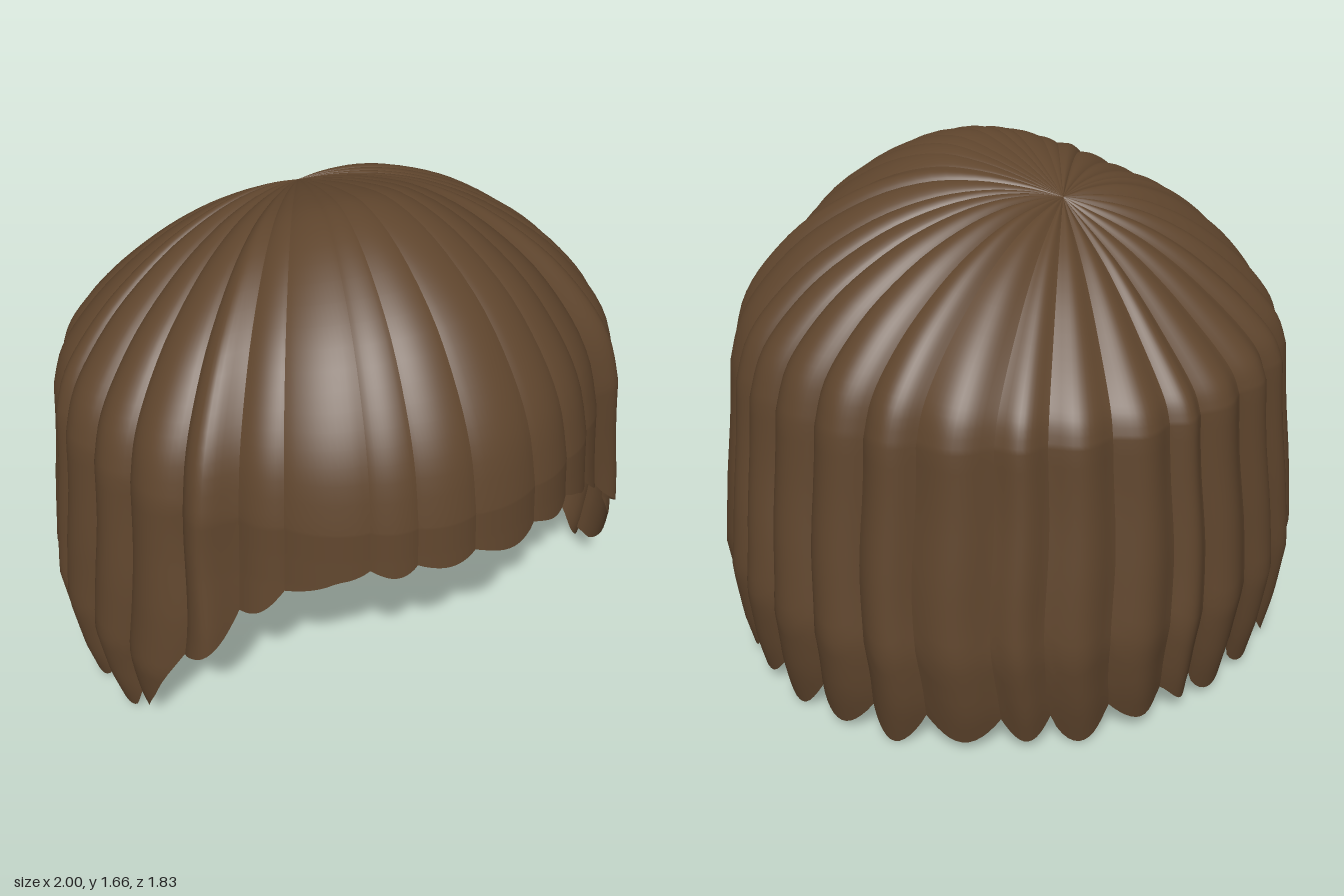
import * as THREE from 'three';
import { mergeGeometries } from 'three/addons/utils/BufferGeometryUtils.js';

const DEG = Math.PI / 180;
const CROWN_Z = -0.25, RING_Y = 1.0;
const BANG_EDGE = 46;
const { lerp, clamp, smoothstep } = THREE.MathUtils;

// Dome profiles from crown (h = 0) to ring (h = 1), sharing the same h steps
const STEPS = [0, 0.11, 0.25, 0.4, 0.57, 0.75, 0.88, 0.96, 1];
const profile = (ys) => new THREE.SplineCurve(ys.map((y, i) => new THREE.Vector2(STEPS[i], y)));
const frontDome = profile([1.54, 1.59, 1.64, 1.665, 1.62, 1.5, 1.34, 1.18, RING_Y]);
const sideDome = profile([1.54, 1.56, 1.56, 1.53, 1.465, 1.355, 1.235, 1.125, RING_Y]);
const backDome = profile([1.54, 1.5, 1.45, 1.39, 1.305, 1.2, 1.12, 1.06, RING_Y]);

// Hem height by angle from the front, and flare of the hanging hair by height
const HEM = [[0, 0.87], [27, 0.86], [38, 0.76], [46, 0.66], [52, 0.55], [57, 0.45], [62, 0.28], [67, 0.17], [73, 0.11], [180, 0.115]];
const FLARE = [[0, 1.0], [0.15, 1.04], [0.35, 1.07], [0.6, 1.045], [0.8, 1.018], [0.9, 1.008], [1, 1]];

function lookUp(table, x) {
  let i = 1;
  while (i < table.length - 1 && x > table[i][0]) i++;
  const [x0, y0] = table[i - 1], [x1, y1] = table[i];
  return lerp(y0, y1, clamp((x - x0) / (x1 - x0), 0, 1));
}

let seed = 7;
const random = () => (seed = (seed * 16807) % 2147483647) / 2147483647;

// Point on the hair: angle in degrees, u across the lock, row 0..1 dome, 1..2 hanging hair
function hairPoint(angle, u, row, lock) {
  const away = Math.abs(angle > 180 ? angle - 360 : angle);
  const a = angle * DEG;
  const c = Math.cos(a);
  const side = smoothstep(away, BANG_EDGE - 1, BANG_EDGE + 7);
  const size = lerp(0.94 + 0.06 * Math.max(0, c - 0.7) / 0.3, 1, side);
  const arch = Math.max(0, Math.sin(Math.PI * u));

  let h = 1, y, flare = 1, twist = 0;
  if (row <= 1) {
    const p = sideDome.getPoint(row);
    const q = (c > 0 ? frontDome : backDome).getPoint(row);
    h = p.x;
    y = lerp(p.y, q.y, Math.pow(Math.abs(c), 1.5));
  } else {
    const tooth = lock.tooth * lerp(0.5, 1, smoothstep(away, 55, 80));
    const point = Math.pow(Math.max(0, Math.sin(Math.PI * Math.pow(u, lock.lean))), 0.9);
    y = lerp(RING_Y, lookUp(HEM, away) - tooth * point, row - 1);
    flare = lookUp(FLARE, y);
    twist = 0.022 * side * (row - 1) * Math.sin(y * 7 + a * 3);
  }

  // Grooves share one depth at each angle, so neighbouring locks meet; they soften towards the back
  const groove = lerp(0.014, lerp(0.042, 0.034, smoothstep(away, 100, 150)), side);
  const bump = Math.pow(arch, lerp(0.75, 1.3, smoothstep(away, 100, 150)));
  const relief = groove * (lock.fullness * bump - 1) * Math.pow(h, 0.7);
  const rx = 0.935 * size * flare + relief;
  const rz = (c > 0 ? 0.905 : 0.86) * size * flare + relief;
  return [
    Math.sin(a + twist) * rx * h,
    y + relief * (1 - h) * 0.8,
    CROWN_Z + (Math.cos(a + twist) * rz - CROWN_Z) * h,
  ];
}

// One lock: a strip running from crown to hem, with its own normals so the grooves stay sharp
function lockGeometry(lock) {
  const cols = 12, domeRows = 28, hangRows = 18, rows = domeRows + hangRows;
  const positions = [], index = [];
  for (let r = 0; r <= rows; r++) {
    const row = r <= domeRows ? r / domeRows : 1 + (r - domeRows) / hangRows;
    for (let i = 0; i <= cols; i++) {
      const u = i / cols;
      positions.push(...hairPoint(lerp(lock.start, lock.end, u), u, row, lock));
    }
  }
  for (let r = 0; r < rows; r++) {
    for (let i = 0; i < cols; i++) {
      const a = r * (cols + 1) + i, b = a + cols + 1;
      if (r > 0) index.push(a, b + 1, a + 1);
      index.push(a, b, b + 1);
    }
  }
  const geometry = new THREE.BufferGeometry();
  geometry.setAttribute('position', new THREE.Float32BufferAttribute(positions, 3));
  geometry.setIndex(index);
  geometry.computeVertexNormals();
  return geometry;
}

// Neighbouring locks over an arc, with slightly uneven widths
function locks(from, to, count, tooth) {
  const step = (to - from) / count;
  const edges = Array.from({ length: count + 1 }, (_, i) =>
    from + step * i + (i > 0 && i < count ? (random() - 0.5) * step * 0.4 : 0));
  return mergeGeometries(edges.slice(1).map((end, i) => lockGeometry({
    start: edges[i], end,
    fullness: 0.85 + 0.3 * random(),
    tooth: tooth * (0.7 + 0.6 * random()),
    lean: 0.7 + 0.7 * random(),
  })));
}

export function createModel() {
  const brown = new THREE.MeshStandardMaterial({ color: 0x5f452d, side: THREE.DoubleSide });
  brown.name = 'brown hair';

  const group = new THREE.Group();
  group.name = 'hair';
  const add = (name, geometry) => {
    const mesh = new THREE.Mesh(geometry, brown);
    mesh.name = name;
    group.add(mesh);
  };
  add('bangs', locks(-BANG_EDGE, BANG_EDGE, 8, 0.055));
  add('sideAndBackHair', locks(BANG_EDGE, 360 - BANG_EDGE, 23, 0.085));

  // Stand the hair on the ground
  const box = new THREE.Box3().setFromObject(group);
  group.children.forEach((mesh) => mesh.geometry.translate(0, -box.min.y, 0));
  return group;
}
